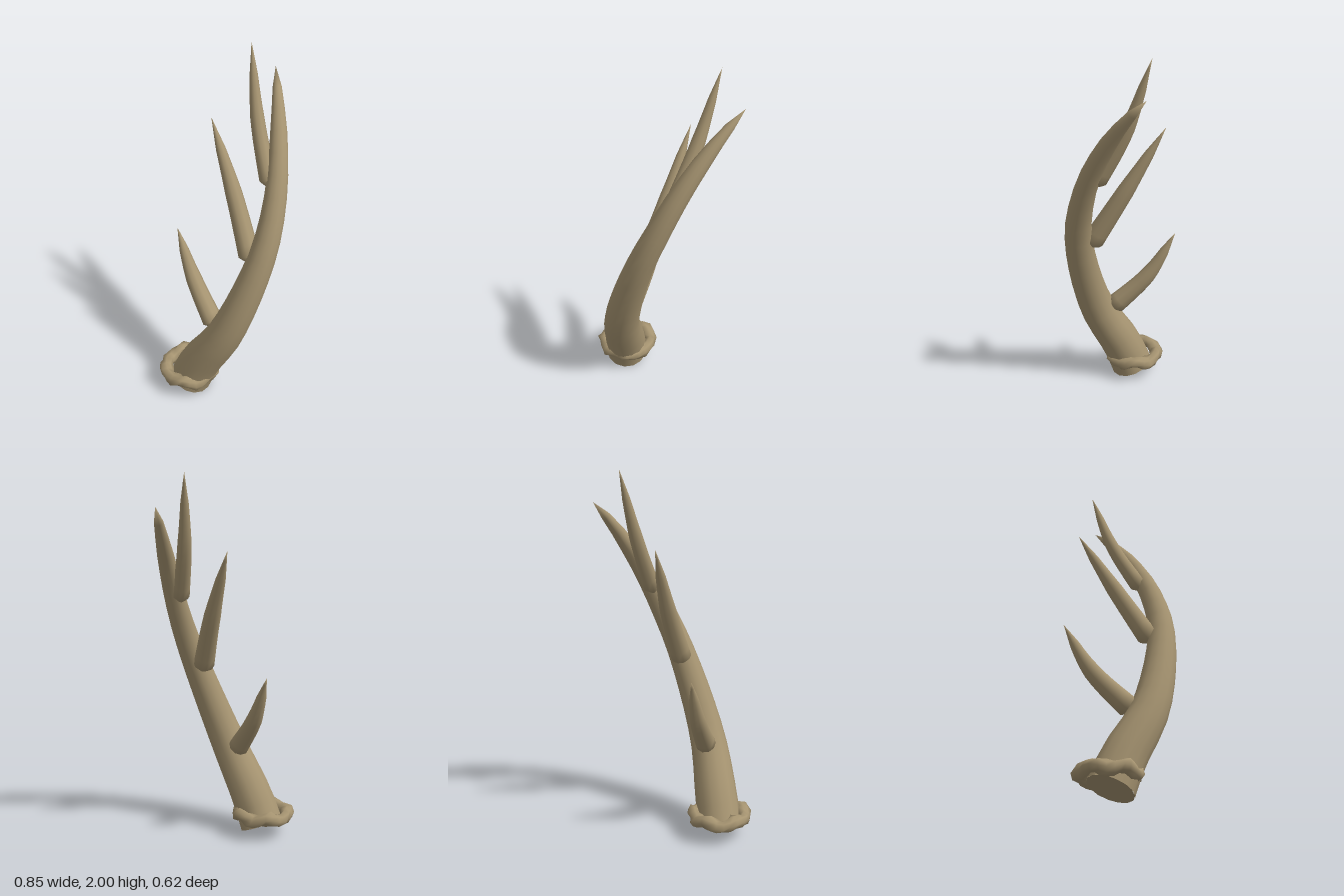
import * as THREE from 'three';
import { mergeVertices } from 'three/addons/utils/BufferGeometryUtils.js';

const bone = new THREE.MeshStandardMaterial({ color: 0xa69471 });
bone.name = 'bone';

const vec = (p) => new THREE.Vector3(...p);

// Weld seams so that normals run smoothly all round
function smooth(geometry) {
  geometry.deleteAttribute('uv');
  geometry.deleteAttribute('normal');
  const welded = mergeVertices(geometry, 1e-5);
  welded.computeVertexNormals();
  return welded;
}

// Piecewise linear radius from [position along curve, radius] pairs
function radiusAt(profile, u) {
  for (let i = 1; i < profile.length; i++) {
    const [u0, r0] = profile[i - 1], [u1, r1] = profile[i];
    if (u <= u1) return THREE.MathUtils.mapLinear(u, u0, u1, r0, r1);
  }
  return profile[profile.length - 1][1];
}

// Tube along a curve whose rings follow a radius profile
function taperedTube(curve, profile, segments, sides) {
  const geometry = new THREE.TubeGeometry(curve, segments, 1, sides);
  const pos = geometry.attributes.position, v = new THREE.Vector3();
  for (let i = 0; i <= segments; i++) {
    const centre = curve.getPointAt(i / segments);
    const r = radiusAt(profile, i / segments);
    for (let j = 0; j <= sides; j++) {
      const k = i * (sides + 1) + j;
      v.fromBufferAttribute(pos, k).sub(centre).multiplyScalar(r).add(centre);
      pos.setXYZ(k, v.x, v.y, v.z);
    }
  }
  return smooth(geometry);
}

function addMesh(group, name, geometry) {
  const mesh = new THREE.Mesh(geometry, bone);
  mesh.name = name;
  group.add(mesh);
  return mesh;
}

export function createModel() {
  const group = new THREE.Group();
  group.name = 'antler';

  // Main beam, sweeping forward then back and outward
  const beamCurve = new THREE.CatmullRomCurve3([
    [-0.25, 0.05, -0.09], [-0.23, 0.2, -0.03], [-0.19, 0.45, 0.11], [-0.12, 0.7, 0.19],
    [-0.015, 1.0, 0.24], [0.07, 1.2, 0.23], [0.16, 1.4, 0.185],
    [0.265, 1.6, 0.1], [0.36, 1.75, 0.01], [0.42, 1.83, -0.05],
  ].map(vec));
  const beamProfile = [[0, 0.122], [0.1, 0.116], [0.24, 0.1], [0.5, 0.075], [0.71, 0.057], [0.83, 0.045], [0.94, 0.026], [1, 0]];
  addMesh(group, 'mainBeam', taperedTube(beamCurve, beamProfile, 18, 14));

  // Flat cut at the foot of the beam
  const cut = addMesh(group, 'baseCut', new THREE.CircleGeometry(0.122, 14));
  cut.position.copy(beamCurve.getPointAt(0));
  cut.lookAt(cut.position.clone().sub(beamCurve.getTangentAt(0)));

  // Tines: root, middle, tip and root radius
  const tines = [
    ['lowerTine', [-0.175, 0.465, 0.045], [-0.125, 0.69, -0.165], [-0.09, 0.95, -0.31], 0.058],
    ['middleTine', [-0.04, 0.91, 0.185], [0.035, 1.24, 0.0], [0.095, 1.61, -0.21], 0.058],
    ['upperTine', [0.12, 1.31, 0.17], [0.2, 1.62, 0.015], [0.28, 2.0, -0.1], 0.047],
  ];
  for (const [name, root, middle, tip, r] of tines) {
    const curve = new THREE.CatmullRomCurve3([root, middle, tip].map(vec));
    const profile = [[0, 0], [0.07, r], [0.5, r * 0.78], [0.79, r * 0.45], [1, 0]];
    addMesh(group, name, taperedTube(curve, profile, 14, 10));
  }

  // Knobbly burr around the foot
  const burr = new THREE.TorusGeometry(0.138, 0.036, 8, 26);
  burr.rotateX(-Math.PI / 2);
  const pos = burr.attributes.position, v = new THREE.Vector3();
  for (let i = 0; i < pos.count; i++) {
    v.fromBufferAttribute(pos, i);
    const a = Math.atan2(v.z, v.x);
    const core = new THREE.Vector3(Math.cos(a) * 0.138, 0, Math.sin(a) * 0.138);
    const b = Math.atan2(v.y, Math.hypot(v.x, v.z) - 0.138);
    const lump = 1 + 0.17 * Math.sin(7 * a + 2 * b) + 0.13 * Math.sin(11 * a - 3 * b + 1);
    v.sub(core).multiplyScalar(lump).add(core);
    v.y += 0.01 * Math.sin(5 * a + 0.6);
    pos.setXYZ(i, v.x, v.y, v.z);
  }
  addMesh(group, 'burr', smooth(burr)).position.set(-0.247, 0.12, -0.103);

  return group;
}
